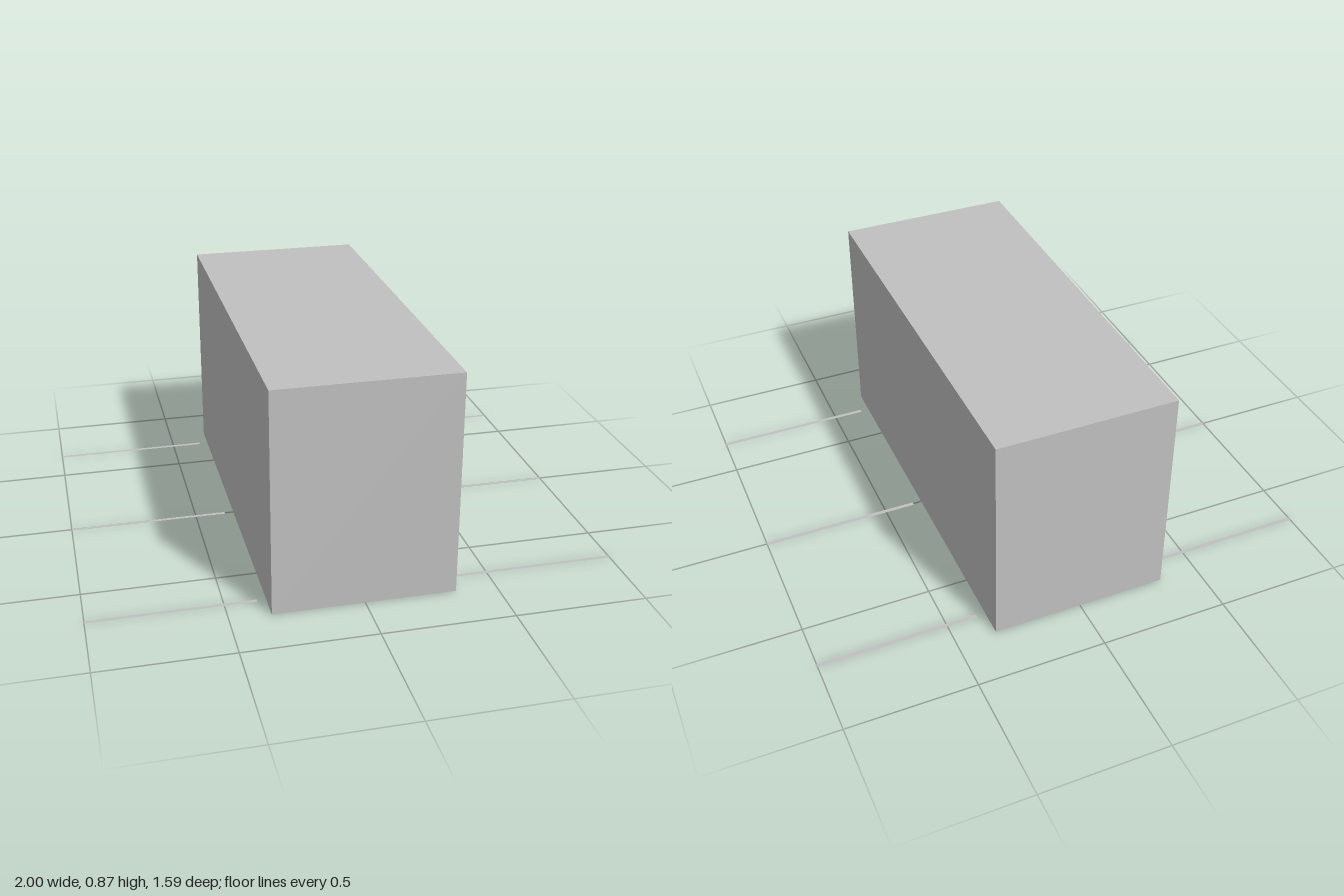
import * as THREE from 'three';

export function createModel() {
  const model = new THREE.Group();
  const grey = new THREE.MeshStandardMaterial({ color: 0xc0c0c0, side: THREE.DoubleSide });
  grey.name = 'grey';

  // Main block
  const body = new THREE.Mesh(new THREE.BoxGeometry(0.69, 0.865, 1.585), grey);
  body.name = 'body';
  body.position.y = 0.865 / 2;
  model.add(body);

  // Flat ground strips, three on each side
  const stripGeometry = new THREE.PlaneGeometry(0.62, 0.016).rotateX(-Math.PI / 2);
  for (const side of [-1, 1]) {
    for (const z of [-0.69, 0, 0.69]) {
      const strip = new THREE.Mesh(stripGeometry, grey);
      strip.name = side > 0 ? 'leftStrip' : 'rightStrip';
      strip.position.set(side * 0.69, 0, z);
      model.add(strip);
    }
  }
  return model;
}
